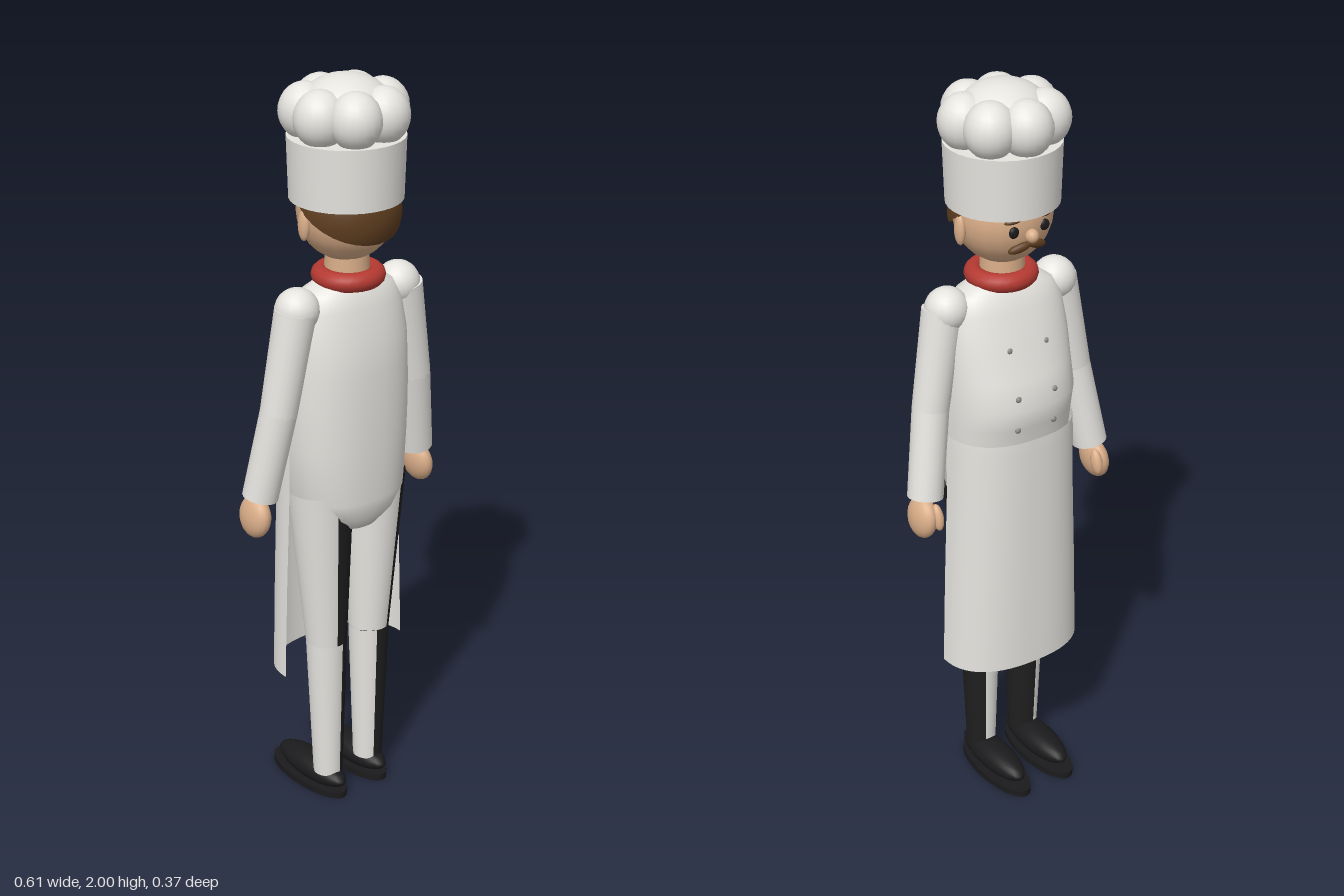
import * as THREE from 'three';

const mat = (name, color, side = THREE.FrontSide) => {
  const m = new THREE.MeshStandardMaterial({ color, side });
  m.name = name;
  return m;
};

export function createModel() {
  const root = new THREE.Group();
  root.name = 'chef';
  const white = mat('white cloth', 0xe6e4df, THREE.DoubleSide);
  const skin = mat('skin', 0xd9ad88);
  const brown = mat('brown hair', 0x5f3e20, THREE.DoubleSide);
  const red = mat('red scarf', 0xb53a32);
  const black = mat('black cloth', 0x1f1f1f, THREE.DoubleSide);
  const shoeBlack = mat('shoe black', 0x1b1b1d);
  const grey = mat('button grey', 0x8c8c8a);

  const add = (name, geo, material, pos = [0, 0, 0], rot = [0, 0, 0]) => {
    const m = new THREE.Mesh(geo, material);
    m.name = name;
    m.position.set(...pos);
    m.rotation.set(...rot);
    root.add(m);
    return m;
  };
  const ball = (name, material, pos, [rx, ry, rz], rot) =>
    add(name, new THREE.SphereGeometry(1, 20, 14).scale(rx, ry, rz), material, pos, rot);

  // Tapered tube between two points; a and w pick the arc around it
  const limb = (name, material, from, to, r0, r1, a = 0, w = Math.PI * 2) => {
    const A = new THREE.Vector3(...from), B = new THREE.Vector3(...to);
    const geo = new THREE.CylinderGeometry(r0, r1, A.distanceTo(B), 20, 1, w < 6, a, w);
    const m = add(name, geo, material);
    m.position.copy(A).add(B).multiplyScalar(0.5);
    m.quaternion.setFromUnitVectors(new THREE.Vector3(0, 1, 0), A.clone().sub(B).normalize());
  };

  // Skin over rounded sections [y, halfWidth, zFront, zBack]; angle 0 is +x, PI/2 is the front
  const CZ = 0.02;
  const point = (s, t, e) => {
    const c = Math.cos(t), n = Math.sin(t);
    const p = (v) => Math.sign(v) * Math.abs(v) ** (2 / e);
    return [s[1] * p(c), s[0], CZ + (n > 0 ? s[2] - CZ : CZ - s[3]) * p(n)];
  };
  const loft = (sections, sweep, e, seg = 32) => {
    const pos = [], idx = [];
    sections.forEach((s, i) => {
      for (let j = 0; j <= seg; j++) {
        pos.push(...point(s, (j / seg) * sweep, e));
        if (i && j) {
          const b = i * (seg + 1) + j, a = b - seg - 1;
          idx.push(a - 1, a, b, a - 1, b, b - 1);
        }
      }
    });
    const g = new THREE.BufferGeometry();
    g.setAttribute('position', new THREE.Float32BufferAttribute(pos, 3));
    g.setIndex(idx);
    g.computeVertexNormals();
    return g;
  };

  // Jacket, with a belly and a rounded tail
  const body = [
    [0.81, 0.001, 0.01, 0.03], [0.812, 0.075, -0.01, 0.11], [0.85, 0.125, -0.07, 0.136],
    [0.9, 0.162, -0.09, 0.145], [1.05, 0.172, -0.113, 0.147], [1.12, 0.175, -0.125, 0.147],
    [1.18, 0.176, -0.14, 0.146], [1.25, 0.175, -0.115, 0.144], [1.33, 0.172, -0.09, 0.139],
    [1.42, 0.16, -0.06, 0.118], [1.46, 0.135, -0.04, 0.105], [1.485, 0.08, -0.02, 0.085],
    [1.495, 0.001, 0.01, 0.03],
  ];
  add('jacket', loft(body, Math.PI * 2, 2.3, 48), white);

  // Apron wrapped around the front half
  add('apron', loft([
    [0.39, 0.2, -0.125, 0.1], [0.65, 0.192, -0.125, 0.1], [0.9, 0.182, -0.125, 0.1],
    [1.04, 0.18, -0.126, 0.1], [1.08, 0.178, -0.125, 0.1],
  ], Math.PI, 2.4), white);

  // Two columns of buttons
  for (const [y, z] of [[1.33, -0.084], [1.21, -0.124], [1.12, -0.121]])
    for (const s of [-1, 1]) ball('button', grey, [s * 0.055, y, z], [0.008, 0.008, 0.006]);

  for (const s of [-1, 1]) {
    // Sleeves and hands
    ball('shoulder', white, [s * 0.163, 1.43, 0.035], [0.058, 0.058, 0.058]);
    limb('upperSleeve', white, [s * 0.172, 1.43, 0.04], [s * 0.22, 1.17, 0.03], 0.054, 0.048);
    ball('elbow', white, [s * 0.22, 1.17, 0.03], [0.048, 0.048, 0.048]);
    limb('lowerSleeve', white, [s * 0.22, 1.17, 0.03], [s * 0.26, 0.935, 0], 0.048, 0.047);
    ball('hand', skin, [s * 0.273, 0.882, -0.005], [0.031, 0.057, 0.054], [0, 0, s * 0.12]);
    ball('thumb', skin, [s * 0.252, 0.892, -0.045], [0.015, 0.036, 0.018], [0.3, 0, 0]);

    // Trousers: pale on the right half of each leg, black on the left half
    const hip = [s * 0.088, 0.925, 0.03], knee = [s * 0.073, 0.47, 0.035];
    const ankle = [s * 0.07, 0.06, 0.037];
    const up = s > 0 ? 0.4 : -0.1, low = s > 0 ? -0.25 : 0.25;
    limb('thighBlack', black, hip, knee, 0.087, 0.055, up, Math.PI);
    limb('thighPale', white, hip, knee, 0.087, 0.055, up + Math.PI, Math.PI);
    limb('shinBlack', black, knee, ankle, 0.055, 0.04, low, Math.PI);
    limb('shinPale', white, knee, ankle, 0.055, 0.04, low + Math.PI, Math.PI);

    // Shoes
    ball('shoe', shoeBlack, [s * 0.071, 0.045, -0.03], [0.047, 0.037, 0.136]);
    add('sole', new THREE.CylinderGeometry(1, 1, 0.018, 24).scale(0.055, 1, 0.148), shoeBlack,
      [s * 0.071, 0.009, -0.042]);
  }

  // Neck and scarf
  add('neck', new THREE.CylinderGeometry(0.055, 0.06, 0.11, 20), skin, [0, 1.515, 0.03]);
  add('scarf', new THREE.TorusGeometry(0.07, 0.025, 12, 28), red, [0, 1.49, 0.035], [Math.PI / 2, 0, 0]);

  // Head, with hair cut along a slope at the back
  ball('head', skin, [0, 1.66, 0.028], [0.128, 0.13, 0.124]);
  add('hair', new THREE.SphereGeometry(0.137, 28, 14, 0, Math.PI * 2, 0, 1.5), brown,
    [0, 1.66, 0.03], [0.54, 0, 0]);

  // Face
  const face = (x, y) =>
    0.028 - 0.124 * Math.sqrt(1 - (x / 0.128) ** 2 - ((y - 1.66) / 0.13) ** 2);
  ball('nose', skin, [0, 1.637, -0.1], [0.017, 0.018, 0.018]);
  for (const s of [-1, 1]) {
    ball('ear', skin, [s * 0.13, 1.64, 0.022], [0.013, 0.04, 0.018]);
    ball('eye', shoeBlack, [s * 0.045, 1.652, face(0.045, 1.652)], [0.014, 0.015, 0.008]);
    ball('eyebrow', brown, [s * 0.047, 1.68, face(0.047, 1.68)], [0.022, 0.006, 0.008],
      [0, s * -0.35, s * -0.15]);
    ball('moustache', brown, [s * 0.025, 1.606, face(0.025, 1.606) - 0.002], [0.032, 0.012, 0.012],
      [0, s * -0.25, s * -0.3]);
  }

  // Hat: band, ring of seven puffs and a domed crown
  add('hatBand', new THREE.CylinderGeometry(0.149, 0.144, 0.16, 32), white, [0, 1.77, 0.027]);
  for (let i = 0; i < 7; i++) {
    const a = (i / 7) * Math.PI * 2;
    ball('hatPuff', white, [0.1 * Math.sin(a), 1.908, 0.025 - 0.1 * Math.cos(a)], [0.067, 0.072, 0.067]);
  }
  ball('hatCrown', white, [0, 1.91, 0.025], [0.122, 0.09, 0.122]);
  return root;
}
